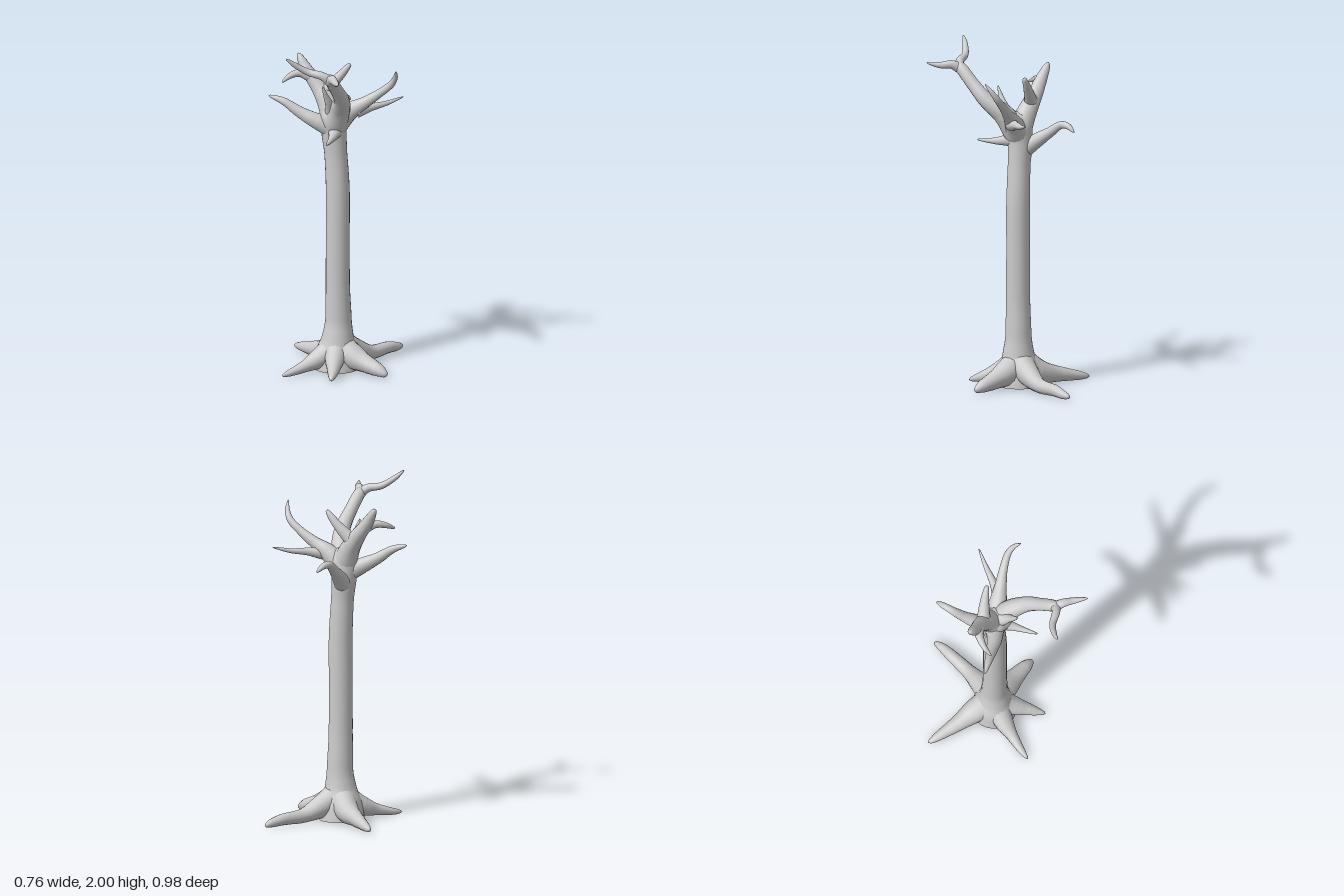
import * as THREE from 'three';
import { mergeVertices } from 'three/addons/utils/BufferGeometryUtils.js';

const material = new THREE.MeshStandardMaterial({ color: 0xcccccc });

// Tapered round-tipped limb swept through points given as [x, y, z, radius].
function limb(name, pts, { sides = 14, tip = 24 } = {}) {
  const curve = new THREE.CatmullRomCurve3(pts.map(p => new THREE.Vector3(p[0], p[1], p[2])));
  const segments = pts.length * 9;
  const tube = new THREE.TubeGeometry(curve, segments, 1, sides);
  const pos = tube.attributes.position;
  const v = new THREE.Vector3();
  for (let i = 0; i <= segments; i++) {
    const u = i / segments;
    const centre = curve.getPointAt(u);
    const k = curve.getUtoTmapping(u) * (pts.length - 1);
    const a = Math.min(Math.floor(k), pts.length - 2);
    const f = THREE.MathUtils.smoothstep(k - a, -0.15, 1.15);
    const r = THREE.MathUtils.lerp(pts[a][3], pts[a + 1][3], f) * Math.sqrt(1 - u ** tip);
    for (let j = 0; j <= sides; j++) {
      const n = i * (sides + 1) + j;
      v.fromBufferAttribute(pos, n).sub(centre).multiplyScalar(r).add(centre);
      pos.setXYZ(n, v.x, Math.max(v.y, 0), v.z); // flatten against the ground
    }
  }
  tube.deleteAttribute('normal');
  tube.deleteAttribute('uv');
  const geometry = mergeVertices(tube, 1e-5);
  geometry.computeVertexNormals();
  const mesh = new THREE.Mesh(geometry, material);
  mesh.name = name;
  return mesh;
}

export function createModel() {
  const tree = new THREE.Group();
  tree.name = 'bareTree';

  // Trunk, flared at the foot and swelling into the crown
  tree.add(limb('trunk', [
    [0.01, 0, 0.01, 0.135], [0.01, 0.09, 0.01, 0.122], [0.017, 0.18, 0.01, 0.093],
    [0.02, 0.28, 0.008, 0.077], [0.018, 0.5, 0.012, 0.07], [0.018, 0.8, 0.012, 0.069],
    [0.018, 1.08, 0.012, 0.069], [0.006, 1.3, 0.014, 0.066], [-0.006, 1.44, 0.016, 0.074],
    [0, 1.53, 0.025, 0.085], [0.005, 1.615, 0.03, 0.07],
  ], { sides: 24, tip: 40 }));

  const underside = new THREE.Mesh(new THREE.CircleGeometry(0.134, 24), material);
  underside.name = 'trunkUnderside';
  underside.rotation.x = Math.PI / 2;
  underside.position.set(0.01, 0.004, 0.01);
  tree.add(underside);

  // Roots spreading over the ground
  const roots = new THREE.Group();
  roots.name = 'roots';
  roots.add(
    limb('backRoot', [[0.03, 0.14, -0.01, 0.08], [0.07, 0.08, -0.11, 0.065], [0.11, 0.04, -0.22, 0.042],
      [0.145, 0.035, -0.36, 0.034], [0.163, 0.024, -0.43, 0.027], [0.17, 0.014, -0.49, 0.018]]),
    limb('backRightRoot', [[0, 0.14, 0, 0.08], [-0.09, 0.07, -0.06, 0.07], [-0.2, 0.045, -0.11, 0.046],
      [-0.3, 0.027, -0.16, 0.03], [-0.38, 0.014, -0.2, 0.016]]),
    limb('leftRoot', [[0.02, 0.14, 0.01, 0.08], [0.12, 0.085, 0.02, 0.075], [0.22, 0.055, 0.032, 0.052],
      [0.3, 0.035, 0.044, 0.04], [0.368, 0.014, 0.056, 0.02]]),
    limb('frontRightRoot', [[0, 0.12, 0.03, 0.075], [-0.06, 0.065, 0.12, 0.056], [-0.1, 0.038, 0.2, 0.034],
      [-0.14, 0.02, 0.28, 0.022], [-0.168, 0.011, 0.345, 0.011]]),
    limb('frontLeftRoot', [[0.02, 0.13, 0.03, 0.075], [0.055, 0.075, 0.12, 0.055], [0.09, 0.04, 0.2, 0.035],
      [0.125, 0.012, 0.29, 0.012]]),
  );
  tree.add(roots);

  // Front limb rising to a fork
  const front = new THREE.Group();
  front.name = 'frontLimb';
  front.add(
    limb('frontBough', [[0.01, 1.49, 0.03, 0.075], [0.07, 1.6, 0.08, 0.06], [0.125, 1.68, 0.16, 0.045],
      [0.14, 1.77, 0.25, 0.037], [0.145, 1.86, 0.34, 0.036], [0.15, 1.88, 0.37, 0.03]]),
    limb('frontForkRight', [[0.15, 1.85, 0.34, 0.032], [0.11, 1.885, 0.37, 0.024], [0.03, 1.905, 0.395, 0.02],
      [-0.03, 1.95, 0.44, 0.016], [-0.068, 1.996, 0.485, 0.007]]),
    limb('frontForkLeft', [[0.14, 1.85, 0.34, 0.032], [0.18, 1.875, 0.375, 0.025], [0.225, 1.873, 0.42, 0.019],
      [0.275, 1.887, 0.485, 0.007]]),
  );

  // Right limb with three ends
  const right = new THREE.Group();
  right.name = 'rightLimb';
  right.add(
    limb('rightBough', [[0, 1.5, 0.02, 0.075], [-0.06, 1.61, 0.005, 0.058], [-0.12, 1.69, 0, 0.046],
      [-0.185, 1.77, 0.005, 0.036], [-0.22, 1.82, 0.003, 0.027], [-0.252, 1.868, 0, 0.017]]),
    limb('rightInnerBranch', [[-0.09, 1.65, 0, 0.045], [-0.045, 1.7, -0.025, 0.034], [0.01, 1.765, -0.05, 0.024],
      [0.06, 1.832, -0.066, 0.014]]),
    limb('rightOuterTwig', [[-0.165, 1.745, 0.01, 0.036], [-0.215, 1.765, 0.05, 0.023], [-0.25, 1.755, 0.1, 0.017],
      [-0.27, 1.73, 0.16, 0.007]]),
  );

  // Left limb with an upswept branch and a thin twig
  const left = new THREE.Group();
  left.name = 'leftLimb';
  left.add(
    limb('leftBough', [[0.01, 1.48, 0.02, 0.07], [0.09, 1.565, -0.01, 0.052], [0.17, 1.62, -0.04, 0.034],
      [0.25, 1.68, -0.068, 0.024], [0.32, 1.74, -0.08, 0.02], [0.355, 1.79, -0.065, 0.015], [0.38, 1.845, -0.028, 0.006]]),
    limb('leftTwig', [[0.12, 1.56, -0.02, 0.038], [0.18, 1.575, -0.1, 0.022], [0.235, 1.585, -0.18, 0.014],
      [0.3, 1.61, -0.266, 0.005]]),
  );

  // Single branches around the crown
  const crown = new THREE.Group();
  crown.name = 'crownBranches';
  crown.add(
    limb('lowRightBranch', [[0, 1.45, 0.02, 0.065], [-0.09, 1.5, 0.075, 0.046], [-0.18, 1.55, 0.11, 0.033],
      [-0.27, 1.61, 0.14, 0.022], [-0.355, 1.64, 0.166, 0.01]]),
    limb('backBranch', [[-0.01, 1.38, 0.01, 0.055], [-0.045, 1.45, -0.08, 0.042], [-0.07, 1.5, -0.15, 0.03],
      [-0.088, 1.55, -0.22, 0.022], [-0.088, 1.55, -0.27, 0.019], [-0.08, 1.52, -0.325, 0.01]]),
    limb('frontStub', [[0.02, 1.45, 0.04, 0.045], [0.045, 1.435, 0.12, 0.025], [0.06, 1.43, 0.18, 0.016],
      [0.08, 1.43, 0.265, 0.006]]),
    limb('frontTwig', [[0.01, 1.57, 0.06, 0.045], [0.015, 1.63, 0.11, 0.024], [0.01, 1.69, 0.145, 0.014],
      [0.005, 1.75, 0.172, 0.005]]),
  );

  tree.add(front, right, left, crown);
  return tree;
}
